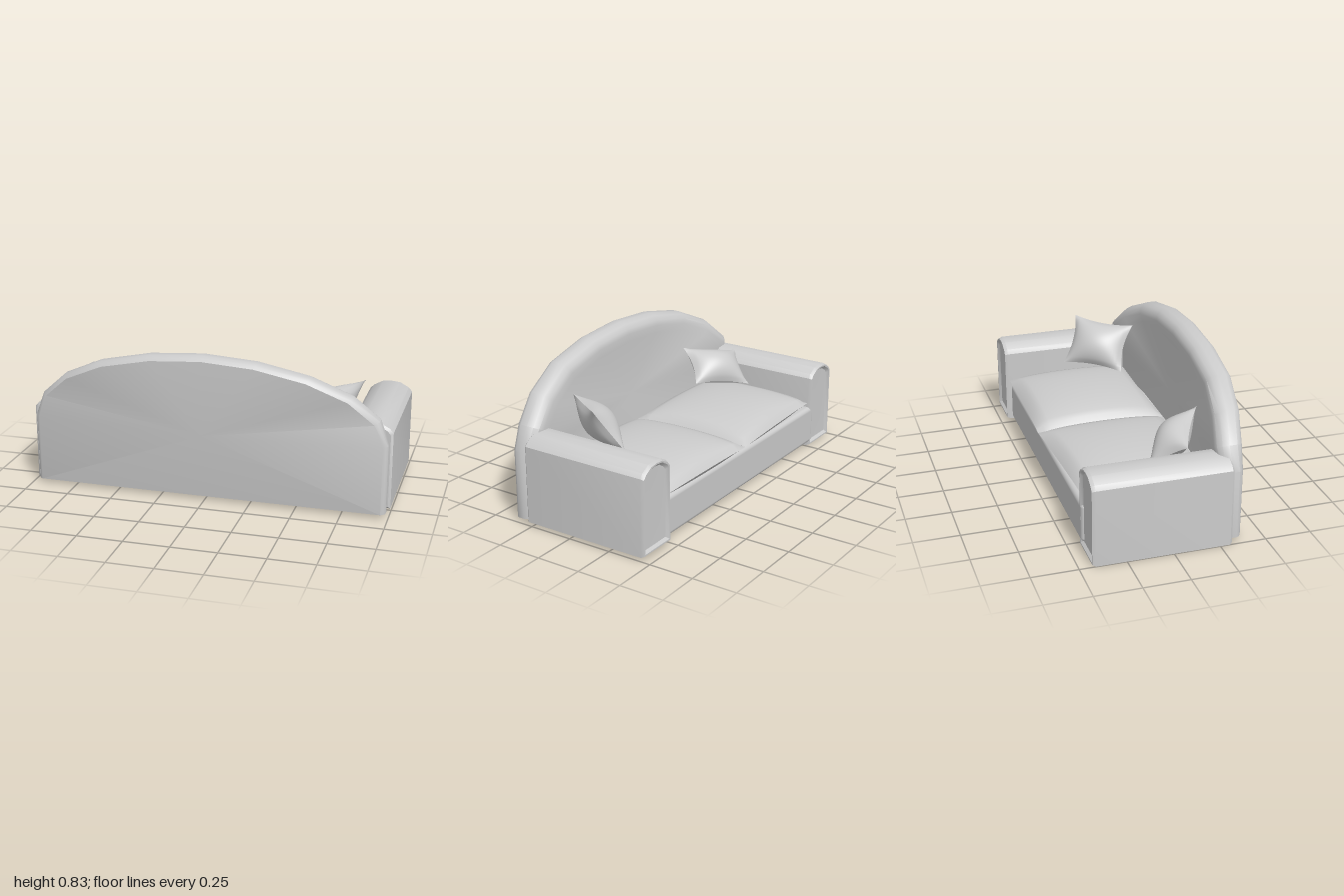
import * as THREE from 'three';
import { mergeGeometries, toCreasedNormals } from 'three/addons/utils/BufferGeometryUtils.js';
import { RoundedBoxGeometry } from 'three/addons/geometries/RoundedBoxGeometry.js';

const material = new THREE.MeshStandardMaterial({ color: 0xcccccc, side: THREE.DoubleSide });
const V = (x, y, z) => new THREE.Vector3(x, y, z);

function part(name, geometry) {
  const mesh = new THREE.Mesh(geometry, material);
  mesh.name = name;
  return mesh;
}

// Joins closed rings (counterclockwise seen from +z, running towards -z) and fans both ends to a centre
function loft(rings, startCentre, endCentre, crease) {
  const n = rings[0].length, index = [];
  const points = [...rings.flat(), startCentre, endCentre];
  const start = points.length - 2, end = points.length - 1, last = (rings.length - 1) * n;
  for (let i = 0; i < n; i++) {
    const j = (i + 1) % n;
    for (let k = 0; k < last; k += n) {
      index.push(k + i, k + n + i, k + j, k + j, k + n + i, k + n + j);
    }
    index.push(start, i, j, end, last + j, last + i);
  }
  const geometry = new THREE.BufferGeometry().setFromPoints(points);
  geometry.setIndex(index);
  return toCreasedNormals(geometry, crease);
}

// Mirrors a half outline [x, ...] that ends on the centre line
function mirrored(half) {
  return [...half, ...half.slice(0, -1).reverse().map(([x, ...rest]) => [-x, ...rest])];
}

// Puffed square stretched between four corners, with pinched edges
function puff([tl, tr, br, bl], thickness, pinch, power) {
  const right = tr.clone().sub(tl), up = tl.clone().sub(bl);
  const normal = right.cross(up).normalize();
  const sides = [1, -1].map((side) => {
    const g = new THREE.PlaneGeometry(2, 2, 20, 20);
    if (side < 0) g.rotateY(Math.PI);
    const pos = g.attributes.position;
    for (let i = 0; i < pos.count; i++) {
      const u = pos.getX(i), v = pos.getY(i);
      const a = Math.max(0, 1 - u * u), b = Math.max(0, 1 - v * v);
      const s = (u * (1 - pinch * b) + 1) / 2, t = (v * (1 - pinch * a) + 1) / 2;
      const p = bl.clone().lerp(br, s).lerp(tl.clone().lerp(tr, s), t);
      p.addScaledVector(normal, side * thickness * Math.pow(a * b, power));
      pos.setXYZ(i, p.x, p.y, p.z);
    }
    g.computeVertexNormals();
    return g;
  });
  return mergeGeometries(sides);
}

// Arched armrest with a rim around a dished front panel
function armGeometry() {
  const outline = mirrored([[0.12, 0.02], [0.12, 0.445], [0.1, 0.468], [0.05, 0.495], [0, 0.5]]);
  const sections = [[0.285, 0.012], [0.272, 0], [-0.445, 0], [-0.463, 0.008], [-0.463, 0.016], [-0.449, 0.03]];
  const rings = sections.map(([z, inset]) => outline.map(([x, y]) =>
    V(x * (1 - inset / 0.12), 0.26 + (y - 0.26) * (1 - inset / 0.24), z)));
  return loft(rings, V(0, 0.26, 0.285), V(0, 0.26, -0.446), 0.55);
}

// Curved backrest with a rolled rim, bowed at the rear and hollow at the front
function backGeometry() {
  const outline = mirrored([
    [0.978, 0.02, 0.376], [0.978, 0.4, 0.378], [0.93, 0.53, 0.385], [0.79, 0.655, 0.42],
    [0.57, 0.755, 0.455], [0.29, 0.815, 0.465], [0, 0.835, 0.467],
  ]);
  // [inset, distance forward of the rear face]
  const roll = [[0.025, 0], [0.01, 0.012], [0, 0.032], [0, 0.075], [0.012, 0.108],
    [0.035, 0.13], [0.065, 0.136], [0.11, 0.133]];
  const rings = roll.map(([inset, depth]) => outline.map(([x, y, z]) => {
    const low = y < 0.45;
    return V(x * (1 - inset), y < 0.1 ? y : y - inset * (y - 0.25) * 1.7, z - depth * (low ? 0.8 : 1));
  }));
  return loft(rings, V(0, 0.4, 0.467), V(0, 0.42, 0.325), 0.6);
}

export function createModel() {
  const sofa = new THREE.Group();
  sofa.name = 'sofa';

  // Seat base
  const base = part('seatBase', new RoundedBoxGeometry(1.6, 0.225, 0.77, 3, 0.025));
  base.position.set(0, 0.1325, -0.045);
  sofa.add(base);

  sofa.add(part('backrest', backGeometry()));
  sofa.getObjectByName('backrest').position.x = 0.006;

  // Armrests, the right one set a little lower and further back
  const leftArm = part('leftArm', armGeometry());
  leftArm.position.x = 0.878;
  const rightArm = part('rightArm', armGeometry());
  rightArm.position.set(-0.88, -0.02, 0.033);
  sofa.add(leftArm, rightArm);

  // Seat cushions
  const y = 0.27;
  sofa.add(part('leftSeatCushion', puff(
    [V(0.015, y, 0.28), V(0.765, y, 0.28), V(0.765, y, -0.44), V(0.015, y, -0.45)], 0.09, 0.012, 0.4)));
  sofa.add(part('rightSeatCushion', puff(
    [V(-0.765, y, 0.28), V(0.015, y, 0.28), V(0.015, y, -0.45), V(-0.765, y, -0.41)], 0.09, 0.012, 0.4)));

  // Throw pillows
  sofa.add(part('leftPillow', puff(
    [V(0.8, 0.635, -0.01), V(0.59, 0.61, 0.285), V(0.45, 0.38, 0.17), V(0.67, 0.39, -0.125)], 0.085, 0.13, 0.7)));
  sofa.add(part('rightPillow', puff(
    [V(-0.815, 0.49, 0.13), V(-0.49, 0.56, 0.295), V(-0.375, 0.4, 0.13), V(-0.69, 0.34, -0.045)], 0.085, 0.13, 0.7)));

  return sofa;
}
